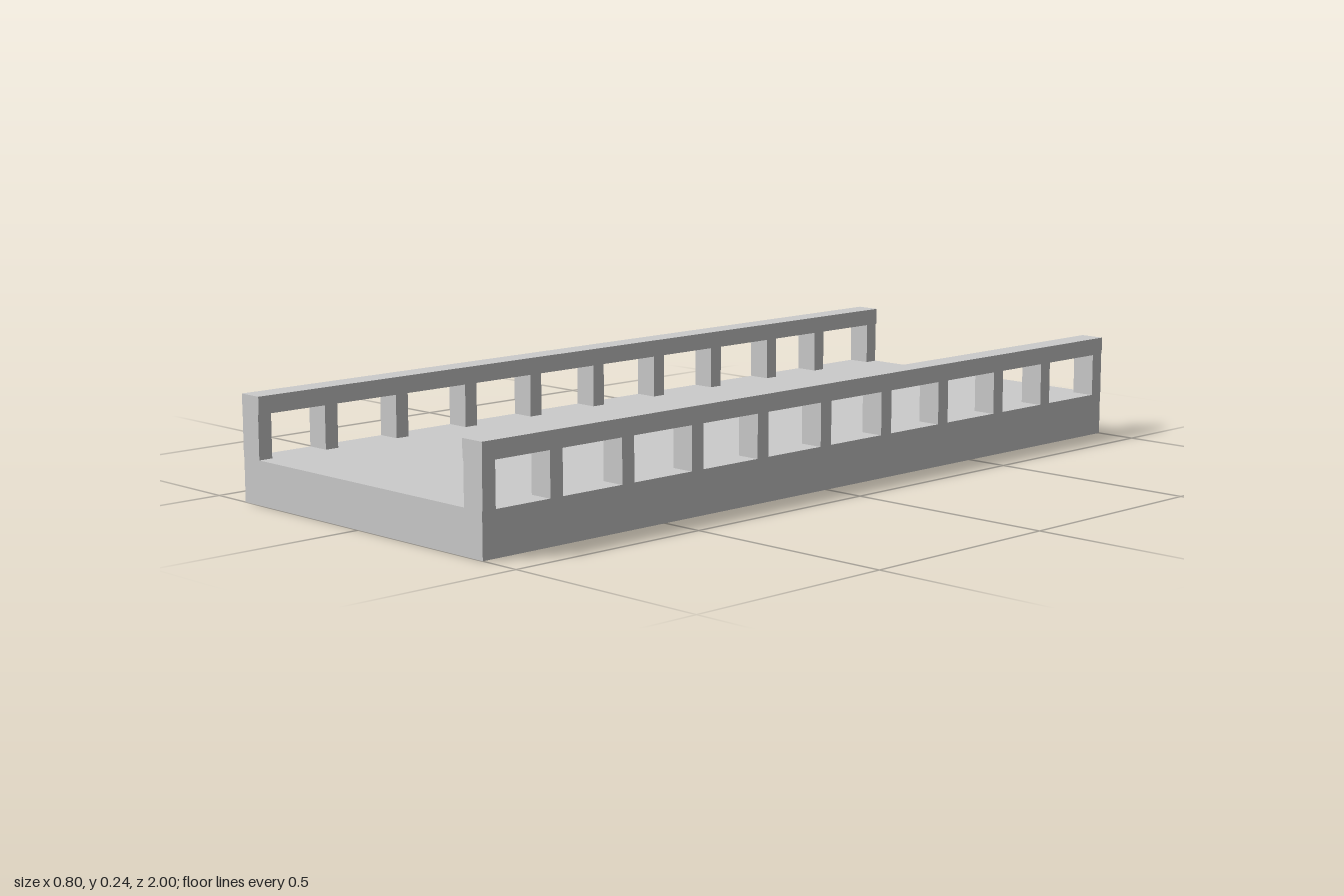
import * as THREE from 'three';

export function createModel() {
  const model = new THREE.Group();
  model.name = 'bridge';
  const material = new THREE.MeshStandardMaterial({ color: 0xcccccc, flatShading: true });

  const box = (name, parent, [w, h, d], [x, y, z]) => {
    const mesh = new THREE.Mesh(new THREE.BoxGeometry(w, h, d), material);
    mesh.name = name;
    mesh.position.set(x, y, z);
    parent.add(mesh);
  };

  // Solid deck slab
  box('deck', model, [0.8, 0.1, 2], [0, 0.05, 0]);

  // Post centres along the span; the end bays are slightly narrower
  const postZ = [0.983, 0.805, 0.607, 0.405, 0.206, 0.005, -0.197, -0.396, -0.598, -0.777, -0.982];

  // A balustrade along each edge: posts carrying a handrail
  for (const [name, side] of [['leftBalustrade', 1], ['rightBalustrade', -1]]) {
    const balustrade = new THREE.Group();
    balustrade.name = name;
    box('handrail', balustrade, [0.06, 0.04, 2], [side * 0.372, 0.22, 0]);
    for (const z of postZ) {
      box('post', balustrade, [0.057, 0.1, 0.034], [side * 0.373, 0.15, z]);
    }
    model.add(balustrade);
  }
  return model;
}
